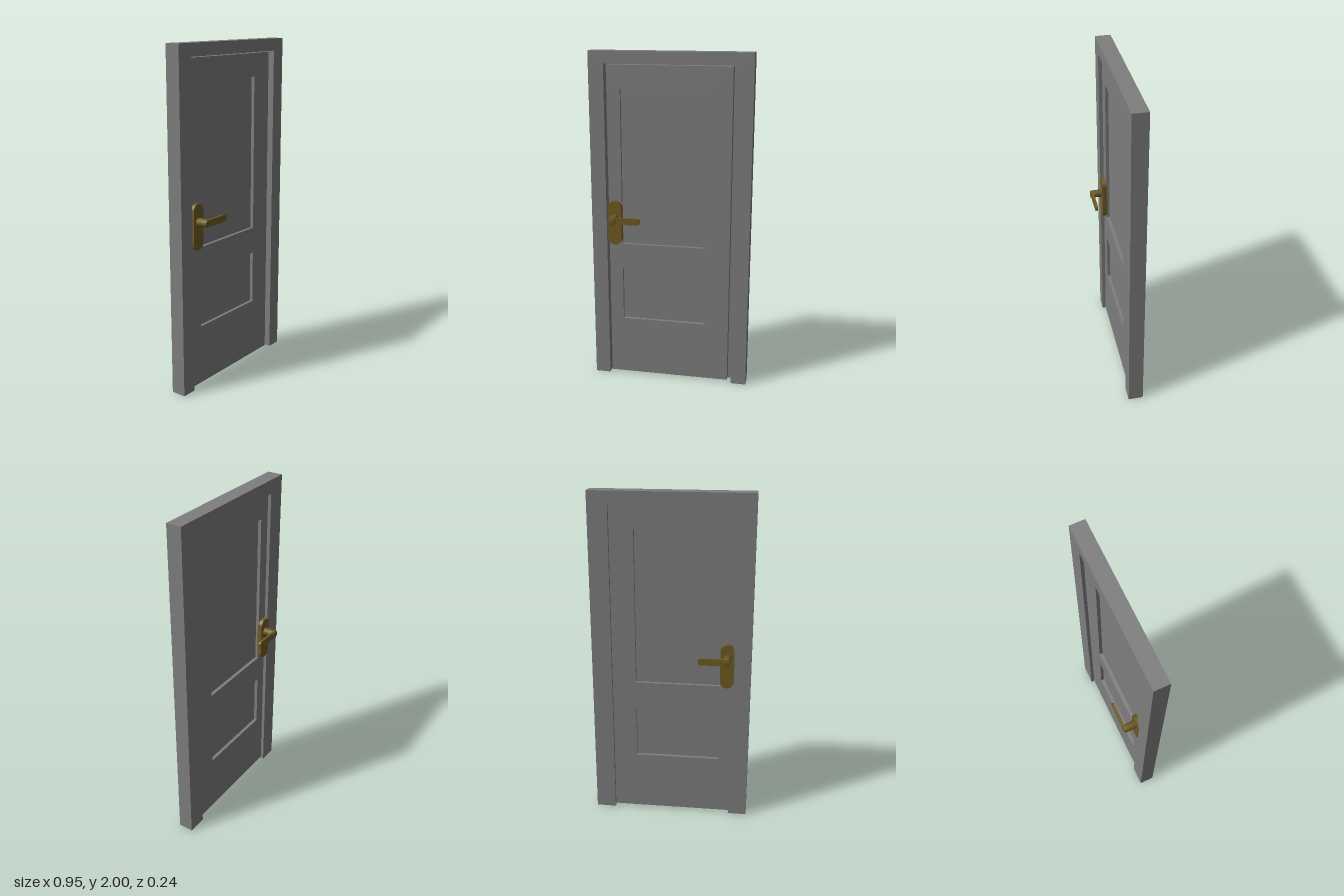
import * as THREE from 'three';

const grey = new THREE.MeshStandardMaterial({ color: 0x7e7e7e });
grey.name = 'grey paint';
const brass = new THREE.MeshStandardMaterial({ color: 0x6e5a22 });
brass.name = 'aged brass';

function add(parent, name, geometry, material) {
  const mesh = new THREE.Mesh(geometry, material);
  mesh.name = name;
  parent.add(mesh);
  return mesh;
}

// Extrude a shape from z0 to z1
function slab(shape, z0, z1, curveSegments = 12) {
  const g = new THREE.ExtrudeGeometry(shape, { depth: z1 - z0, bevelEnabled: false, curveSegments });
  return g.translate(0, 0, z0);
}

function rect(x0, y0, x1, y1, Type = THREE.Shape) {
  return new Type([[x0, y0], [x1, y0], [x1, y1], [x0, y1]].map(p => new THREE.Vector2(...p)));
}

// Door surround: two jambs and a head, open at the bottom
function surround(left, right, top) {
  return new THREE.Shape([
    [-0.475, 0], [left, 0], [left, top], [right, top],
    [right, 0], [0.475, 0], [0.475, 2], [-0.475, 2],
  ].map(p => new THREE.Vector2(...p)));
}

// Upright plate with round ends, centred on the origin
function capsule(r, halfLength) {
  const s = new THREE.Shape();
  s.absarc(0, halfLength - r, r, 0, Math.PI, false);
  s.absarc(0, -halfLength + r, r, Math.PI, Math.PI * 2, false);
  s.closePath();
  return s;
}

// Lever pointing to +x with a rounded tip
function leverShape() {
  const s = new THREE.Shape();
  s.moveTo(0, -0.02);
  s.lineTo(0.15, -0.02);
  s.absarc(0.15, 0, 0.02, -Math.PI / 2, Math.PI / 2, false);
  s.lineTo(0, 0.02);
  s.closePath();
  return s;
}

// One side of the handle; side is +1 for the front and -1 for the back
function makeHandle(side, leverY, tipZ) {
  const handle = new THREE.Group();
  handle.name = side > 0 ? 'frontHandle' : 'backHandle';
  const span = (a, b) => (side > 0 ? [a, b] : [-b, -a]);

  const plate = add(handle, 'backplate', slab(capsule(0.041, 0.135), ...span(0.02, 0.048)), brass);
  plate.position.y = 0.99;

  const r = 0.023;
  const profile = [[0, 0.03], [r, 0.03], [r, tipZ - 0.004], [r - 0.004, tipZ], [0, tipZ]];
  const spindle = add(handle, 'spindle', new THREE.LatheGeometry(
    profile.map(p => new THREE.Vector2(...p)), 20), brass);
  spindle.rotation.x = side * Math.PI / 2;
  spindle.position.y = leverY;

  const lever = add(handle, 'lever', slab(leverShape(), ...span(tipZ - 0.018, tipZ - 0.004)), brass);
  lever.position.y = leverY;

  handle.position.x = -0.334;
  return handle;
}

export function createModel() {
  const model = new THREE.Group();
  model.name = 'door';

  // Frame with a rebate: wide opening in front, narrower stop behind
  const frame = new THREE.Group();
  frame.name = 'frame';
  model.add(frame);
  add(frame, 'frameFront', slab(surround(-0.385, 0.385, 1.928), -0.025, 0.045), grey);
  add(frame, 'frameStop', slab(surround(-0.363, 0.357, 1.918), -0.045, -0.025), grey);

  // Door leaf with two recessed panels
  const leaf = new THREE.Group();
  leaf.name = 'leaf';
  model.add(leaf);
  const panels = [[-0.295, 0.37, 0.215, 0.695], [-0.295, 0.857, 0.215, 1.785]];
  const outline = rect(-0.375, 0.01, 0.358, 1.922);
  for (const p of panels) outline.holes.push(rect(...p, THREE.Path));
  add(leaf, 'rails', slab(outline, -0.025, 0.025), grey);
  panels.forEach((p, i) => {
    add(leaf, i ? 'upperPanel' : 'lowerPanel', slab(rect(...p), -0.005, 0.005), grey);
  });

  model.add(makeHandle(1, 1.022, 0.12), makeHandle(-1, 1.042, 0.124));
  return model;
}
